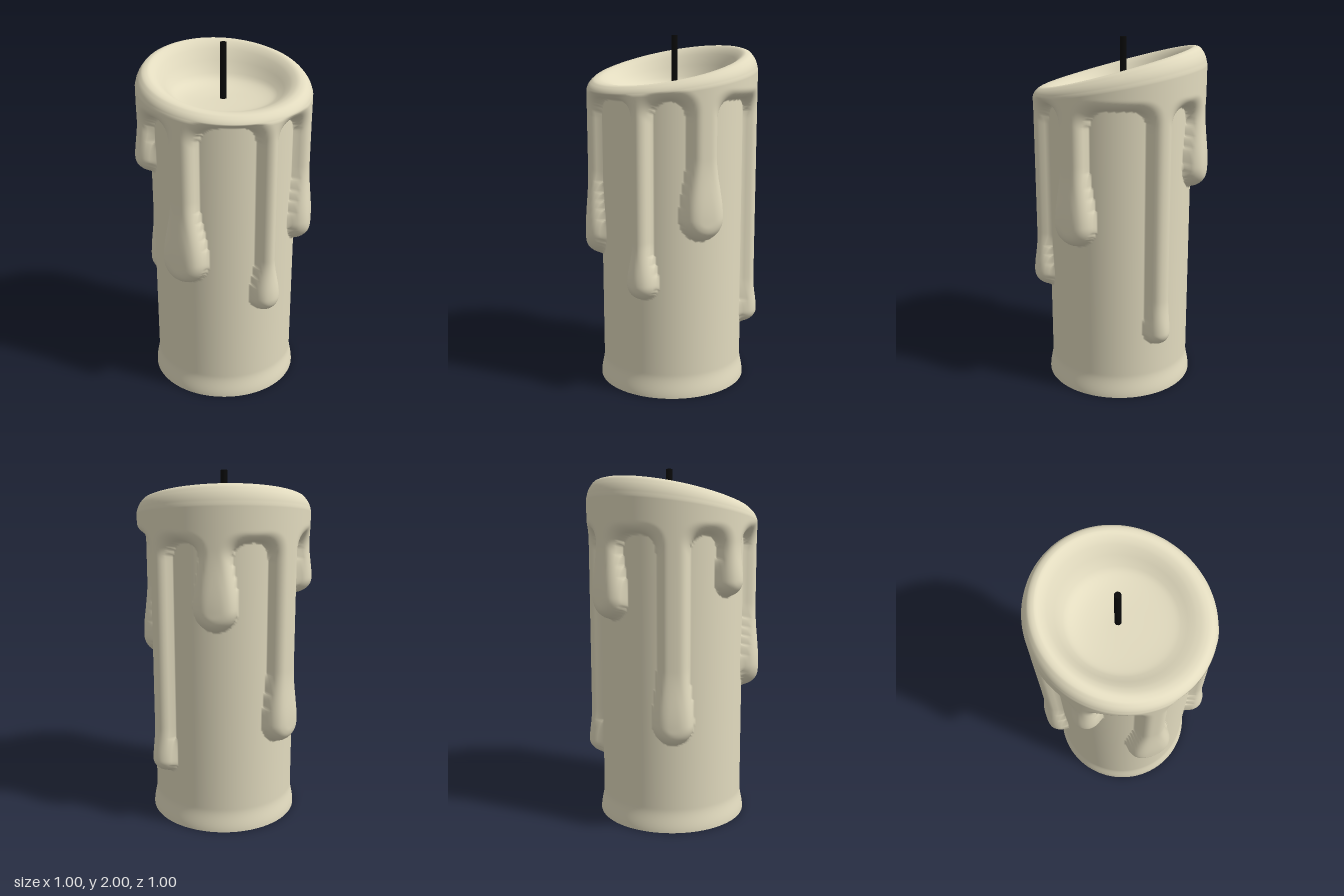
import * as THREE from 'three';

const SEGMENTS = 256, WALL_ROWS = 200, RIM_ROWS = 36;
const BODY_R = 0.41, FLOOR_Y = 1.69, ARC_R = 0.45;

// Wax runs: position around the candle (x, z), tip height, neck and bulb half-widths
const drips = [
  { x: 0.15, z: 0.45, tip: 0.75, neck: 0.082, bulb: 0.138 },
  { x: -0.215, z: 0.40, tip: 1.31, neck: 0.07, bulb: 0.085 },
  { x: 0.48, z: 0.08, tip: 0.57, neck: 0.055, bulb: 0.09 },
  { x: 0.395, z: -0.28, tip: 0.90, neck: 0.085, bulb: 0.127 },
  { x: -0.08, z: -0.48, tip: 0.32, neck: 0.066, bulb: 0.078 },
  { x: -0.40, z: -0.29, tip: 1.18, neck: 0.085, bulb: 0.127 },
  { x: -0.47, z: 0.145, tip: 0.51, neck: 0.09, bulb: 0.12 },
].map((d) => ({ ...d, angle: Math.atan2(d.x, d.z) }));

const { smoothstep, clamp, lerp } = THREE.MathUtils;

// Height of the tilted rim, and depth of its rounded shoulder
const rimY = (a) => 1.84 - 0.1 * Math.sin(a) - 0.05 * Math.cos(a);
const shoulder = (a) => 0.075 + 0.2 * (rimY(a) - 1.84);

// Union of two distances with a soft fillet
function smoothMin(a, b, k) {
  const h = Math.max(k - Math.abs(a - b), 0) / k;
  return Math.min(a, b) - h * h * k * 0.25;
}

// Distance to the outline of one drip on the unrolled wall (negative inside)
function dripDistance(d, a, y) {
  const turn = Math.atan2(Math.sin(a - d.angle), Math.cos(a - d.angle));
  const s = Math.abs(turn) * ARC_R, centre = d.tip + d.bulb;
  if (y < centre) return Math.hypot(s, y - centre) - d.bulb;
  const t = smoothstep(y, centre, centre + d.bulb * 2.6);
  return s - lerp(d.bulb, d.neck, t);
}

// Wall radius: plain body, flared foot, melted skirt and drips
function wallRadius(a, y) {
  let dist = 1.655 - y, bulge = 0;
  for (const d of drips) {
    const dd = dripDistance(d, a, y);
    dist = smoothMin(dist, dd, 0.12);
    const low = 1 - smoothstep(y, d.tip + d.bulb, d.tip + d.bulb * 3.5);
    bulge += 0.02 * low * smoothstep(-dd, 0, 0.09);
  }
  const u = clamp(-dist / 0.06, 0, 1);
  const foot = 0.018 * (1 - smoothstep(y, 0, 0.13));
  return BODY_R + foot + bulge + 0.077 * Math.sqrt(u * (2 - u));
}

// Rim section: radius, drop below the crest (in shoulder depths), height above the floor (0 to 1)
const section = new THREE.CatmullRomCurve3([
  [0.486, 1, 1], [0.478, 0.62, 1], [0.46, 0.26, 1], [0.435, 0.03, 1], [0.412, 0, 1],
  [0.38, 0, 0.9], [0.345, 0, 0.68], [0.305, 0, 0.38], [0.265, 0, 0.18],
  [0.2, 0, 0.07], [0.1, 0, 0.01], [0, 0, 0],
].map((p) => new THREE.Vector3(...p))).getPoints(RIM_ROWS).slice(1);

function waxGeometry() {
  const pos = [], index = [];
  const rows = WALL_ROWS + section.length;
  for (let i = 0; i < rows; i++) {
    for (let j = 0; j < SEGMENTS; j++) {
      const a = (j / SEGMENTS) * Math.PI * 2, rim = rimY(a);
      let r, y;
      if (i < WALL_ROWS) {
        y = (i / (WALL_ROWS - 1)) * (rim - shoulder(a));
        r = wallRadius(a, y);
      } else {
        const p = section[i - WALL_ROWS];
        r = p.x;
        y = lerp(FLOOR_Y, rim, p.z) - p.y * shoulder(a);
      }
      pos.push(r * Math.sin(a), y, r * Math.cos(a));
      if (i < rows - 1) {
        const k = (j + 1) % SEGMENTS, n = i * SEGMENTS, m = n + SEGMENTS;
        index.push(n + j, n + k, m + j, n + k, m + k, m + j);
      }
    }
  }
  const geo = new THREE.BufferGeometry();
  geo.setAttribute('position', new THREE.Float32BufferAttribute(pos, 3));
  geo.setIndex(index);
  geo.computeVertexNormals();
  return geo;
}

export function createModel() {
  const group = new THREE.Group();
  group.name = 'candle';
  const wax = new THREE.MeshStandardMaterial({ color: 0xe2dbbf });
  const black = new THREE.MeshStandardMaterial({ color: 0x0a0a0a });
  const add = (name, geo, mat) => {
    const mesh = new THREE.Mesh(geo, mat);
    mesh.name = name;
    group.add(mesh);
    return mesh;
  };

  // Candle body with melted rim, bowl and drips
  add('waxBody', waxGeometry(), wax);

  // Flat underside
  add('base', new THREE.CircleGeometry(BODY_R + 0.018, 64).rotateX(Math.PI / 2), wax);

  // Wick standing in the pool
  add('wick', new THREE.CylinderGeometry(0.018, 0.018, 0.34, 12), black).position.set(-0.02, 1.83, -0.01);

  return group;
}
